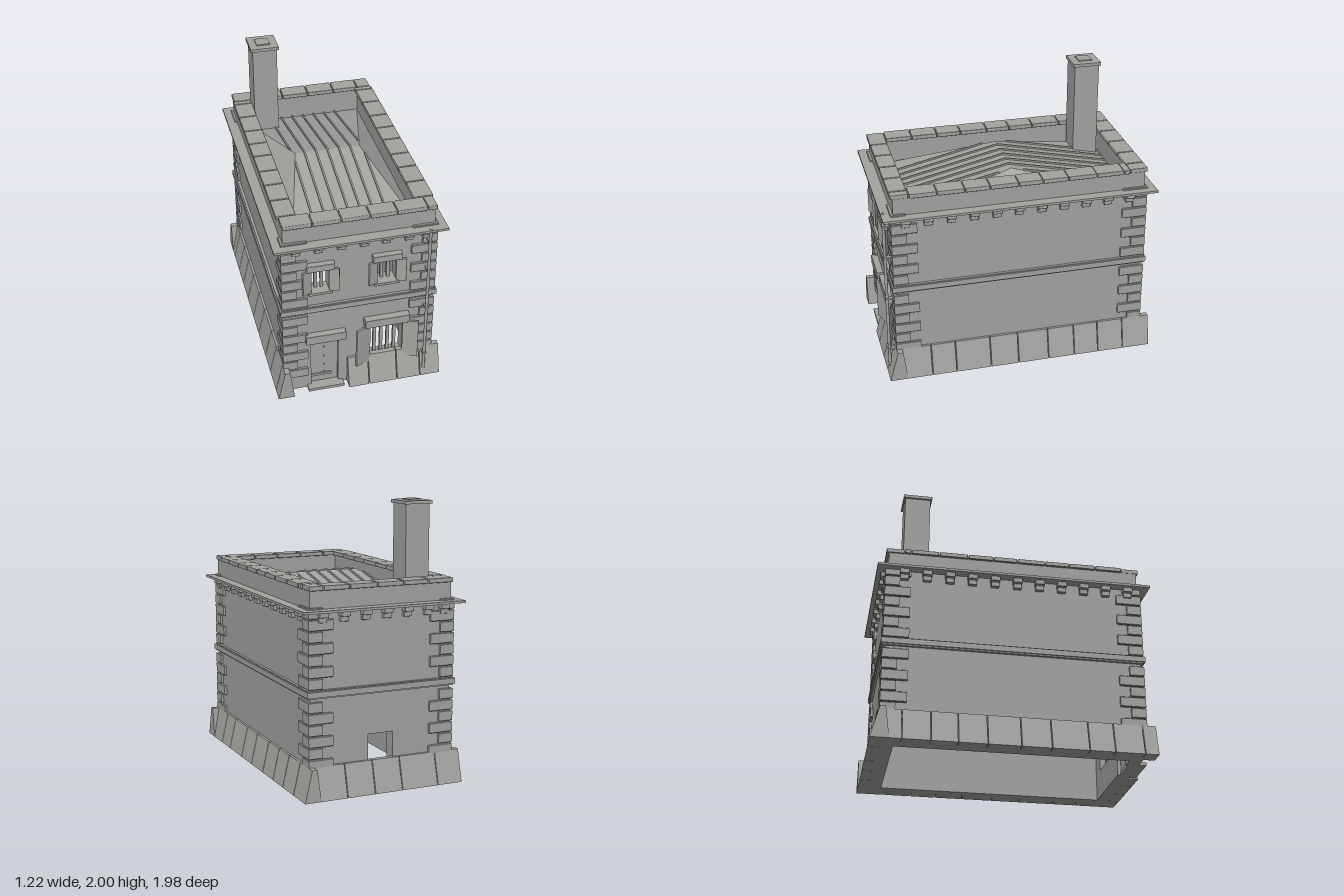
import * as THREE from 'three';
import { RoundedBoxGeometry } from 'three/addons/geometries/RoundedBoxGeometry.js';

export function createModel() {
  const model = new THREE.Group();
  model.name = 'stoneBuilding';
  const stone = new THREE.MeshStandardMaterial({ color: 0xa3a3a0 });
  stone.name = 'greyStone';
  const roofStone = new THREE.MeshStandardMaterial({ color: 0xa3a3a0, side: THREE.DoubleSide });
  roofStone.name = 'greyRoof';

  const add = (name, geo, parent = model, mat = stone) => {
    const m = new THREE.Mesh(geo, mat);
    m.name = name;
    parent.add(m);
    return m;
  };
  // Box given by its limits; r > 0 softens its edges
  const box = (name, x0, x1, y0, y1, z0, z1, parent = model, r = 0) => {
    const s = [x1 - x0, y1 - y0, z1 - z0];
    const g = r ? new RoundedBoxGeometry(...s, 1, r) : new THREE.BoxGeometry(...s);
    g.translate((x0 + x1) / 2, (y0 + y1) / 2, (z0 + z1) / 2);
    return add(name, g, parent);
  };
  const poly = (pts) => new THREE.Shape(pts.map((p) => new THREE.Vector2(...p)));
  const rect = (x0, x1, y0, y1) => [[x0, y0], [x1, y0], [x1, y1], [x0, y1]];
  const extrude = (shape, depth) => new THREE.ExtrudeGeometry(shape, { depth, bevelEnabled: false });
  // Rectangular ring around the building
  const ring = (name, x, z, xi, zi, y0, y1) => {
    const s = poly(rect(-x, x, -z, z));
    s.holes.push(poly(rect(-xi, xi, -zi, zi)));
    add(name, extrude(s, y1 - y0).rotateX(-Math.PI / 2).translate(0, y0, 0));
  };

  // Walls, with door, window and back openings
  const W = 0.535, D = 0.91, T = 0.09, TOP = 1.435;
  const front = poly([[-W, 0], [-0.345, 0], [-0.345, 0.435], [-0.145, 0.435], [-0.145, 0], [W, 0], [W, TOP], [-W, TOP]]);
  front.holes.push(poly(rect(0.085, 0.33, 0.2, 0.505)));
  front.holes.push(poly(rect(-0.345, -0.215, 0.88, 1.07)));
  front.holes.push(poly(rect(0.125, 0.265, 0.88, 1.07)));
  add('frontWall', extrude(front, T).translate(0, 0, D - T));
  const back = poly(rect(-W, W, 0, TOP));
  back.holes.push(poly(rect(-0.09, 0.1, 0.19, 0.41)));
  add('backWall', extrude(back, T).translate(0, 0, -D));
  for (const s of [-1, 1]) {
    const x = s * (W - T / 2);
    box('sideWall', x - T / 2, x + T / 2, 0, TOP, T - D, D - T);
  }

  // String course and cornice
  ring('stringCourse', 0.565, 0.94, 0.5, 0.88, 0.71, 0.75);
  ring('stringCourseCore', 0.555, 0.93, 0.5, 0.88, 0.7, 0.757);
  ring('cornice', 0.61, 0.99, 0.5, 0.88, 1.288, 1.305);

  // Sides share one local frame: outward is +z, u runs along the wall
  const sides = [
    { name: 'front', d: D, plinth: [-0.085, 0.07, 0.28, 0.455, 0.605], coping: [-0.54, -0.33, -0.13, 0.07, 0.26, 0.475, 0.545], brackets: [-0.45, -0.29, -0.13, 0.03, 0.185, 0.345, 0.47] },
    { name: 'right', d: W, plinth: [-0.92, -0.89, -0.68, -0.5, -0.24, -0.03, 0.2, 0.4, 0.585, 0.78, 0.99] },
    { name: 'back', d: D, plinth: [-0.545, -0.29, -0.08, 0.13, 0.41, 0.605], coping: [-0.545, -0.44, -0.245, -0.04, 0.16, 0.35, 0.545], brackets: [-0.45, -0.29, -0.13, 0.03, 0.185, 0.345, 0.47] },
    { name: 'left', d: W, plinth: [-0.92, -0.78, -0.585, -0.4, -0.2, 0.03, 0.24, 0.5, 0.68, 0.89, 0.99] },
  ];
  const sideCoping = [-0.797, -0.6, -0.405, -0.225, -0.02, 0.155, 0.34, 0.55, 0.75, 0.797];
  sides.forEach((side, i) => {
    const g = new THREE.Group();
    g.name = side.name + 'Stonework';
    g.rotation.y = (i * Math.PI) / 2;
    model.add(g);
    const d = side.d;
    const out = d === D ? 0.99 : 0.605;
    // Sloping plinth stones
    const profile = poly([[d - 0.05, 0], [out, 0], [d + 0.018, 0.228], [d - 0.02, 0.228]]);
    side.plinth.slice(1).forEach((b, k) => {
      const len = b - side.plinth[k] - 0.006;
      add('plinthStone', extrude(profile, len).rotateY(-Math.PI / 2).translate(b, 0, 0), g);
    });
    // Coping stones
    const cop = side.coping || sideCoping.map((u) => (i === 3 ? -u : u)).sort((a, b) => a - b);
    cop.slice(1).forEach((b, k) => {
      const inner = d === D ? 0.8 : 0.415;
      box('copingStone', cop[k] + 0.003, b - 0.003, 1.43, 1.463, inner, d + 0.017, g, 0.006);
    });
    // Stepped brackets beneath the cornice
    const at = side.brackets || Array.from({ length: 11 }, (_, k) => (i === 1 ? 1 : -1) * (-0.83 + k * 0.1625));
    at.forEach((u) => {
      box('bracketTop', u - 0.034, u + 0.034, 1.252, 1.288, d - 0.01, d + 0.05, g, 0.004);
      box('bracketFoot', u - 0.03, u + 0.03, 1.215, 1.252, d - 0.01, d + 0.028, g, 0.004);
    });
  });

  // Corner quoins, long on alternate faces
  for (const sx of [-1, 1]) for (const sz of [-1, 1]) {
    for (let k = 0; k < 15; k++) {
      if (k === 7) continue;
      const longX = (k % 2 === 0) === (sz > 0);
      const a = longX ? 0.175 : 0.098, b = longX ? 0.098 : 0.175;
      const b0 = 0.004, t = 0.04, X = 0.553 - b0, Z = 0.93 - b0;
      const pts = [[X, Z], [X - a, Z], [X - a, Z - t], [X - t, Z - t], [X - t, Z - b], [X, Z - b]];
      const geo = new THREE.ExtrudeGeometry(poly(pts.map(([x, z]) => [sx * x, -sz * z])), {
        depth: 0.066, bevelEnabled: true, bevelThickness: b0, bevelSize: b0, bevelSegments: 1,
      });
      add('quoin', geo.rotateX(-Math.PI / 2).translate(0, 0.127 + 0.08 * k, 0));
    }
  }

  // Hipped roof sunk behind the parapet
  const ex = 0.445, ez = 0.82, ey = 1.25, rx = 0.24, ry = 1.43;
  const A = [-ex, ey, ez], B = [ex, ey, ez], C = [ex, ey, -ez], E = [-ex, ey, -ez], L = [-rx, ry, 0], R = [rx, ry, 0];
  const roof = new THREE.BufferGeometry();
  const tris = [A, B, R, A, R, L, C, E, L, C, L, R, B, C, R, E, A, L];
  roof.setAttribute('position', new THREE.Float32BufferAttribute(tris.flat(), 3));
  roof.computeVertexNormals();
  add('roof', roof, model, roofStone);
  const slope = Math.atan2(ry - ey, ez);
  for (const s of [-1, 1]) for (const x of [-0.26, -0.172, -0.086, 0, 0.086, 0.172, 0.26]) {
    const z0 = Math.abs(x) > rx ? 0.09 : 0, zm = (z0 + ez) / 2;
    const m = add('roofSeam', new THREE.BoxGeometry(0.012, 0.016, (ez - z0) / Math.cos(slope)));
    m.position.set(x, ry - Math.tan(slope) * zm + 0.004, s * zm);
    m.rotation.x = s * slope;
  }

  // Chimney
  box('chimneyStack', -0.418, -0.235, 1.2, 1.97, -0.798, -0.612);
  box('chimneyCap', -0.432, -0.221, 1.968, 1.991, -0.81, -0.6);
  box('chimneyTop', -0.378, -0.278, 1.99, 2, -0.755, -0.655);

  // Windows: bars, lintel, sill and half-open shutters
  const shutter = (hinge, dir, w, y0, y1, angle) => {
    const g = new THREE.Group();
    g.name = 'shutter';
    g.position.set(hinge, 0, D + 0.012);
    g.rotation.y = -dir * angle;
    model.add(g);
    const len = w / Math.cos(angle);
    box('shutterPanel', Math.min(0, dir * len), Math.max(0, dir * len), y0, y1, -0.008, 0.008, g);
  };
  const bars = (x0, x1, y0, y1, n) => {
    for (let k = 1; k <= n; k++) {
      const x = x0 + ((x1 - x0) * k) / (n + 1);
      box('windowBar', x - 0.011, x + 0.011, y0, y1, 0.855, 0.877);
    }
  };
  for (const [x0, x1] of [[-0.345, -0.215], [0.125, 0.265]]) {
    bars(x0, x1, 0.88, 1.07, 2);
    box('windowLintel', x0 - 0.035, x1 + 0.035, 1.07, 1.122, 0.88, 0.955, model, 0.005);
    box('windowSill', x0 - 0.022, x1 + 0.022, 0.86, 0.882, 0.84, 0.945, model, 0.004);
    shutter(x0, -1, 0.064, 0.88, 1.07, 0.4);
    shutter(x1, 1, 0.066, 0.88, 1.07, 0.4);
  }
  bars(0.085, 0.33, 0.2, 0.505, 4);
  box('lowerWindowLintel', 0.04, 0.37, 0.505, 0.572, 0.88, 0.965, model, 0.005);
  shutter(0.085, -1, 0.11, 0.175, 0.5, 0.4);
  shutter(0.33, 1, 0.105, 0.175, 0.5, 0.4);

  // Door with studs, lintel and step
  box('door', -0.345, -0.145, 0.015, 0.435, 0.845, 0.885);
  box('doorRail', -0.34, -0.19, 0.075, 0.095, 0.88, 0.893);
  for (const y of [0.1, 0.17, 0.25, 0.335]) box('doorStud', -0.253, -0.243, y, y + 0.01, 0.88, 0.893);
  box('doorLintel', -0.39, -0.097, 0.435, 0.505, 0.88, 0.96, model, 0.005);
  box('doorStep', -0.375, -0.11, 0, 0.022, 0.84, 0.965);

  // Drainpipe and its clips
  add('drainpipe', new THREE.CylinderGeometry(0.011, 0.011, 1.25, 12).translate(0.485, 0.685, 0.972));
  for (const y of [0.2, 0.62, 0.955, 1.2]) box('pipeClip', 0.47, 0.5, y, y + 0.012, 0.9, 0.985);
  return model;
}
